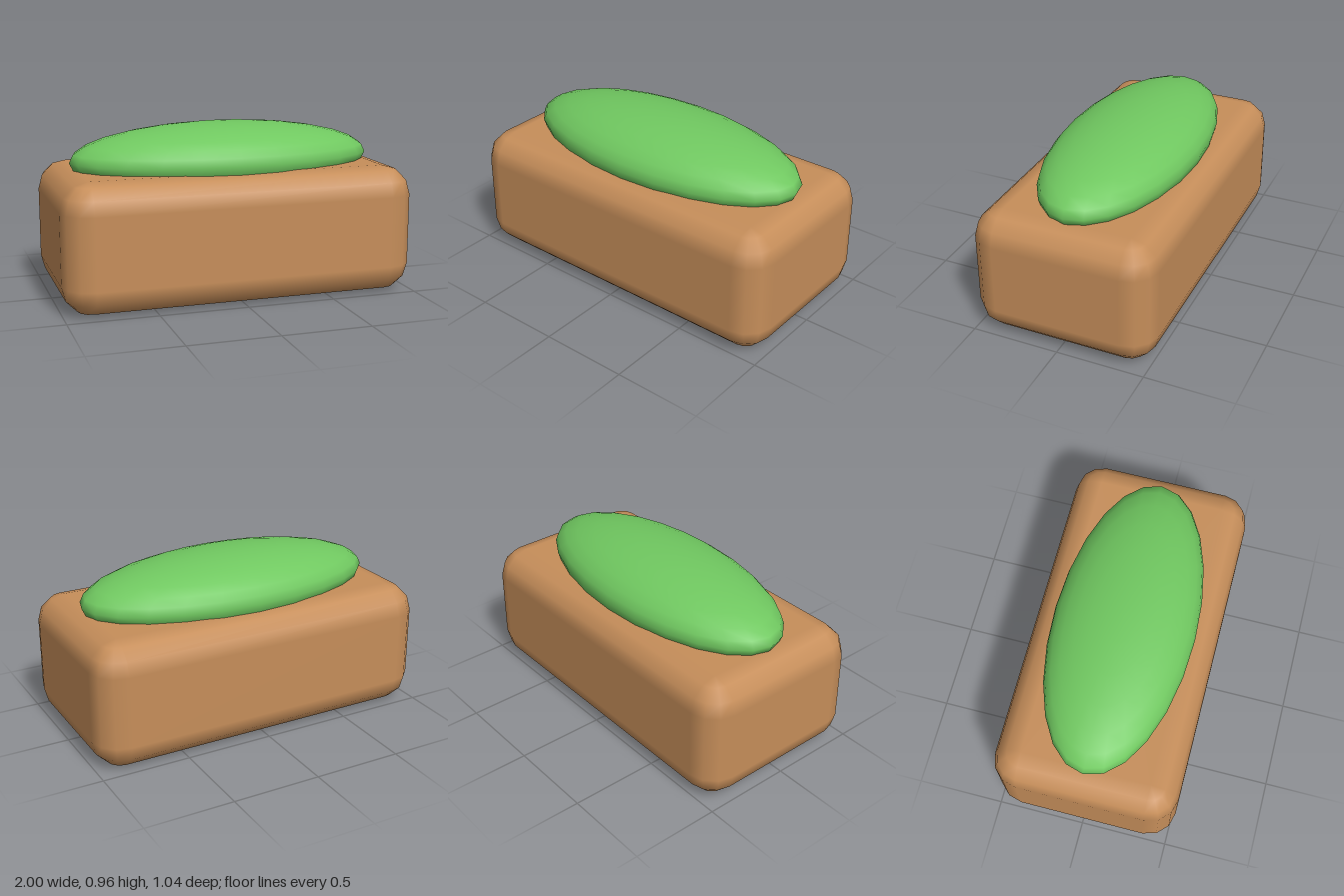
import * as THREE from 'three';

// Box with rounded edges and corners: a grid wrapped round the box,
// with `steps` facets per rounded quarter and a flat cap at top and bottom.
function roundedBlock(w, h, d, r, steps) {
  const cols = 4 * (steps + 1), rows = 2 * steps + 3;
  const geo = new THREE.PlaneGeometry(1, 1, cols, rows);
  const pos = geo.attributes.position, nor = geo.attributes.normal;
  const n = new THREE.Vector3();
  for (let j = 0; j <= rows; j++) {
    const cap = j === 0 || j === rows;
    const row = THREE.MathUtils.clamp(j - 1, 0, rows - 2);
    const top = row <= steps;
    const theta = (top ? row / steps : 1 + (row - steps - 1) / steps) * Math.PI / 2;
    for (let i = 0; i <= cols; i++) {
      const corner = Math.floor(i / (steps + 1)) % 4;
      const phi = (corner + (i % (steps + 1)) / steps) * Math.PI / 2;
      const mid = (corner + 0.5) * Math.PI / 2;
      n.setFromSphericalCoords(1, theta, phi);
      const cx = Math.sign(Math.sin(mid)) * (w / 2 - r);
      const cy = (top ? 1 : -1) * (h / 2 - r);
      const cz = Math.sign(Math.cos(mid)) * (d / 2 - r);
      const k = j * (cols + 1) + i;
      if (cap) pos.setXYZ(k, 0, top ? h / 2 : -h / 2, 0);
      else pos.setXYZ(k, cx + n.x * r, cy + n.y * r, cz + n.z * r);
      nor.setXYZ(k, n.x, n.y, n.z);
    }
  }
  return geo;
}

export function createModel() {
  const model = new THREE.Group();
  const add = (name, geometry, color, y) => {
    const mesh = new THREE.Mesh(geometry, new THREE.MeshStandardMaterial({ color }));
    mesh.name = name;
    mesh.position.y = y;
    model.add(mesh);
    return mesh;
  };

  // Brown rounded block
  add('base', roundedBlock(2, 0.72, 1.04, 0.16, 3), 0xc68e5a, 0.36);

  // Green flattened ellipsoid sunk into the top
  add('topping', new THREE.SphereGeometry(1, 24, 14), 0x70c860, 0.76).scale.set(0.88, 0.2, 0.4);

  return model;
}
